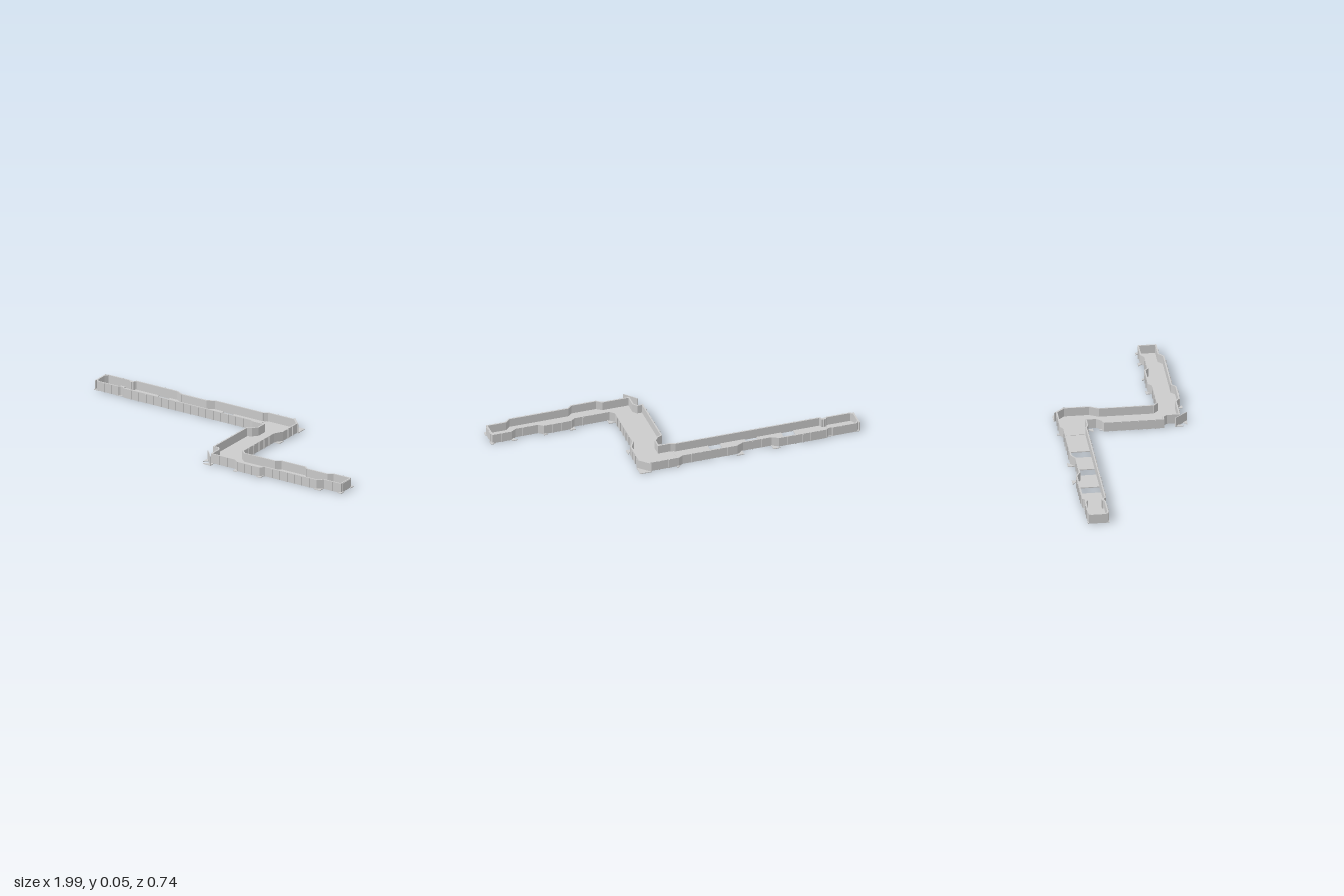
import * as THREE from 'three';

const HEIGHT = 0.055, FLOOR = 0.005, THICK = 0.008;

// Outline of the corridor as [x, z], back side first, then the front side returning
const OUTLINE = [
  [-0.995, -0.305], [-0.98, -0.328], [-0.84, -0.328], [-0.82, -0.315], [-0.8, -0.338],
  [-0.525, -0.338], [-0.485, -0.316], [-0.315, -0.316], [-0.275, -0.338], [0.045, -0.338],
  [0.07, -0.353], [0.245, -0.353], [0.288, -0.307], [0.288, -0.165], [0.26, -0.115],
  [0.26, 0.192], [0.288, 0.217], [0.495, 0.217], [0.52, 0.197], [0.68, 0.197],
  [0.705, 0.217], [0.84, 0.217], [0.87, 0.197], [0.98, 0.197],
  [0.98, 0.296], [0.87, 0.296], [0.84, 0.322], [0.495, 0.322], [0.47, 0.344],
  [0.325, 0.344], [0.295, 0.322], [0.138, 0.322], [0.138, 0.25], [0.12, 0.228],
  [0.09, 0.228], [0.09, -0.105], [0.115, -0.115], [0.14, -0.145], [0.14, -0.202],
  [0.07, -0.202], [0.045, -0.212], [-0.8, -0.212], [-0.82, -0.235], [-0.84, -0.219],
  [-0.98, -0.219], [-0.995, -0.24],
];

// Ground plates behind the angled panels: corner x, z and signed leg lengths
const PLATES = [
  [-0.482, -0.36, -0.045, 0.04], [-0.312, -0.36, 0.045, 0.04], [0.068, -0.37, 0.02, 0.03],
  [0.302, -0.37, -0.068, 0.068], [0.302, -0.115, -0.035, -0.045], [0.302, 0.178, -0.04, 0.036],
  [0.497, 0.18, 0.035, 0.036], [0.682, 0.18, -0.02, 0.036], [0.87, 0.18, -0.035, 0.036],
  [0.87, 0.338, -0.04, -0.036], [0.49, 0.362, -0.03, -0.04], [0.305, 0.362, 0.03, -0.04],
  [0.092, 0.295, 0.04, 0.045], [0.158, 0.365, -0.05, -0.042], [0.12, -0.165, -0.035, -0.035],
  [0.1, -0.102, 0.035, -0.03], [0.993, 0.182, -0.025, 0.035], [0.993, 0.31, -0.025, -0.035],
  [-1, -0.334, 0.035, 0.04], [-1, -0.213, 0.035, -0.04],
  [-0.815, -0.334, -0.04, 0.035], [-0.815, -0.213, -0.04, -0.035],
];

const material = new THREE.MeshStandardMaterial({ color: 0xcccccc, flatShading: true, side: THREE.DoubleSide });

function toShape(points) {
  return new THREE.Shape(points.map(([x, z]) => new THREE.Vector2(x, -z)));
}

// Flat slab lying on the ground
function slab(name, shape, depth) {
  const geometry = new THREE.ExtrudeGeometry(shape, { depth, bevelEnabled: false });
  geometry.rotateX(-Math.PI / 2);
  const mesh = new THREE.Mesh(geometry, material);
  mesh.name = name;
  return mesh;
}

// Upright panel between two ground points
function panel(name, [x1, z1], [x2, z2], thick = THICK, extra = 0, height = HEIGHT) {
  const length = Math.hypot(x2 - x1, z2 - z1);
  const mesh = new THREE.Mesh(new THREE.BoxGeometry(length + extra, height, thick), material);
  mesh.position.set((x1 + x2) / 2, height / 2, (z1 + z2) / 2);
  mesh.rotation.y = -Math.atan2(z2 - z1, x2 - x1);
  mesh.name = name;
  return mesh;
}

export function createModel() {
  const model = new THREE.Group();
  model.name = 'corridor';

  // Floor with three open pits
  const floorShape = toShape(OUTLINE);
  for (const [x1, x2, back] of [[-0.645, -0.575, -0.334], [-0.43, -0.36, -0.312], [-0.215, -0.145, -0.334]]) {
    floorShape.holes.push(new THREE.Path(
      [[x1, back], [x1, -0.216], [x2, -0.216], [x2, back]].map(([x, z]) => new THREE.Vector2(x, -z))));
  }
  model.add(slab('floor', floorShape, FLOOR));

  // Walls along the outline, with thin ribs on their outer faces
  const walls = new THREE.Group();
  walls.name = 'walls';
  OUTLINE.forEach((a, i) => {
    const b = OUTLINE[(i + 1) % OUTLINE.length];
    walls.add(panel('wallPanel', a, b, THICK, THICK * 0.6));
    const dx = b[0] - a[0], dz = b[1] - a[1], length = Math.hypot(dx, dz);
    const count = Math.round(length / 0.05);
    if (length < 0.09) return;
    for (let k = 1; k < count; k++) {
      const rib = new THREE.Mesh(new THREE.BoxGeometry(0.005, HEIGHT - 0.002, 0.006), material);
      const t = k / count, out = 0.006;
      rib.position.set(a[0] + dx * t + dz / length * out, HEIGHT / 2, a[1] + dz * t - dx / length * out);
      rib.rotation.y = -Math.atan2(dz, dx);
      rib.name = 'wallRib';
      walls.add(rib);
    }
  });
  model.add(walls);

  // Wide angled panels on the two outer corners
  model.add(panel('cornerPanel', [0.236, -0.368], [0.302, -0.302], 0.004));
  model.add(panel('cornerPanel', [0.095, 0.295], [0.158, 0.366], 0.004));

  // Ground plates at the angled panels
  for (const [x, z, dx, dz] of PLATES) {
    model.add(slab('cornerPlate', toShape([[x, z], [x + dx, z], [x, z + dz]]), 0.004));
  }

  // Door in the end wall
  const door = new THREE.Mesh(new THREE.BoxGeometry(0.008, 0.05, 0.075), material);
  door.position.set(0.984, 0.028, 0.2465);
  door.name = 'endDoor';
  model.add(door);

  // Door posts of the end room, and the end wall's outer face
  for (const z of [-0.322, -0.228]) {
    const post = new THREE.Mesh(new THREE.BoxGeometry(0.03, HEIGHT, 0.014), material);
    post.position.set(-0.82, HEIGHT / 2, z);
    post.name = 'doorPost';
    model.add(post);
  }
  model.add(panel('endWall', [-0.997, -0.328], [-0.997, -0.219], 0.006));

  // Sill between the pit passage and the corner room
  model.add(panel('sill', [0.055, -0.34], [0.055, -0.21], 0.006, 0, 0.007));

  return model;
}
